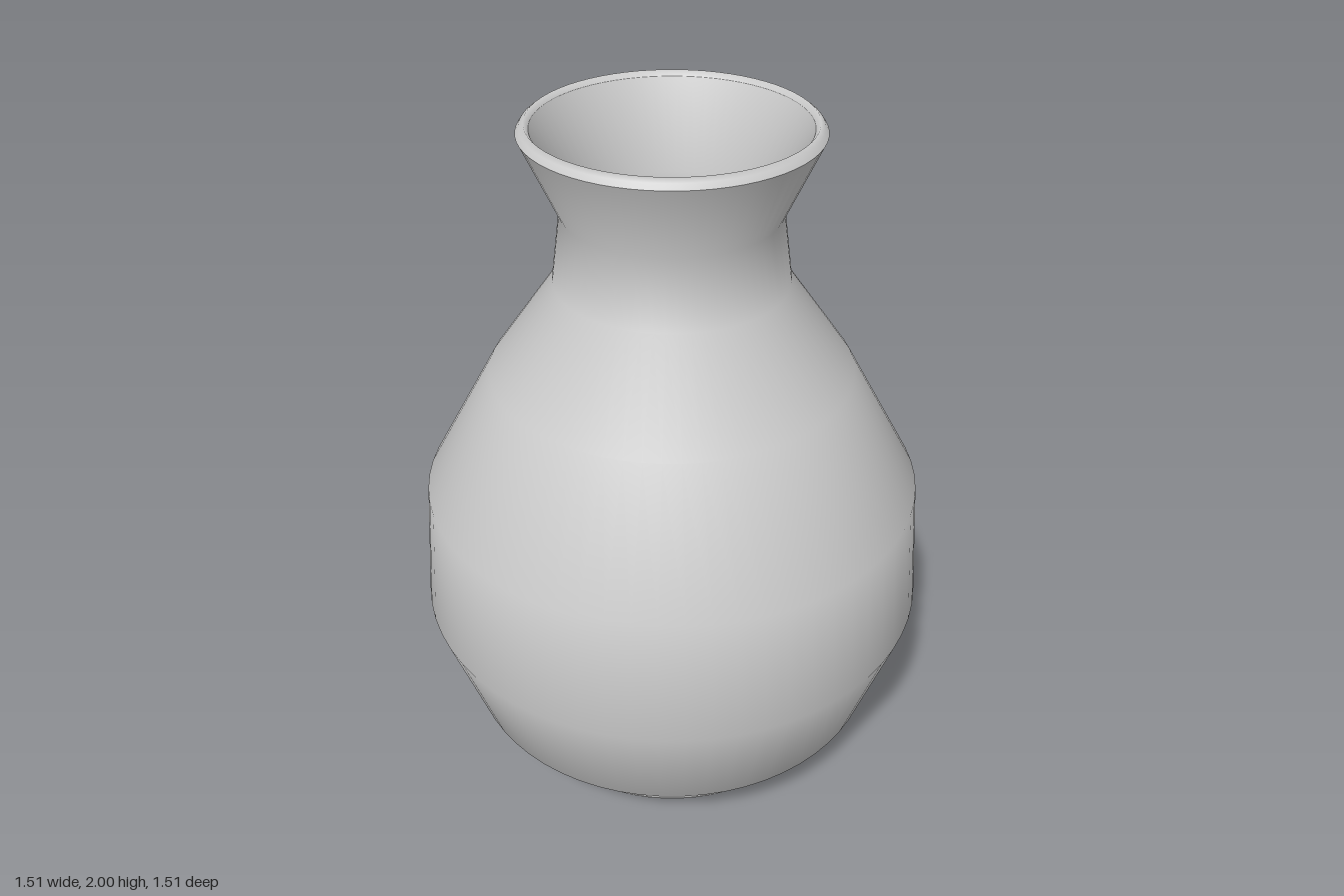
import * as THREE from 'three';

export function createModel() {
  const model = new THREE.Group();
  model.name = 'vase';
  const clay = new THREE.MeshStandardMaterial({ color: 0xcccccc });
  clay.name = 'pale grey clay';

  // Each band is its own smooth lathe, so the joins between bands stay sharp
  const addBand = (name, profile) => {
    const points = profile.map(([r, y]) => new THREE.Vector2(r, y));
    const mesh = new THREE.Mesh(new THREE.LatheGeometry(points, 64), clay);
    mesh.name = name;
    model.add(mesh);
  };

  // Underside and thin foot lip
  addBand('base', [[0, 0], [0.483, 0]]);
  addBand('footEdge', [[0.483, 0], [0.483, 0.004]]);
  addBand('footLip', [[0.483, 0.004], [0.455, 0.005]]);

  // Outer wall, bottom to top
  addBand('outerWall', [
    [0.455, 0.005], [0.64, 0.185], [0.755, 0.53], [0.725, 0.91],
    [0.52, 1.28], [0.33, 1.55], [0.303, 1.75], [0.405, 1.975],
  ]);

  // Bevelled mouth
  addBand('rim', [[0.405, 1.975], [0.395, 1.99], [0.382, 2], [0.37, 1.985]]);

  // Inner wall, top to bottom
  addBand('innerWall', [
    [0.37, 1.985], [0.26, 1.745], [0.285, 1.53], [0.48, 1.255],
    [0.68, 0.9], [0.71, 0.535], [0.6, 0.21], [0.465, 0.045],
  ]);
  addBand('innerFloor', [[0.465, 0.045], [0, 0.045]]);

  return model;
}
